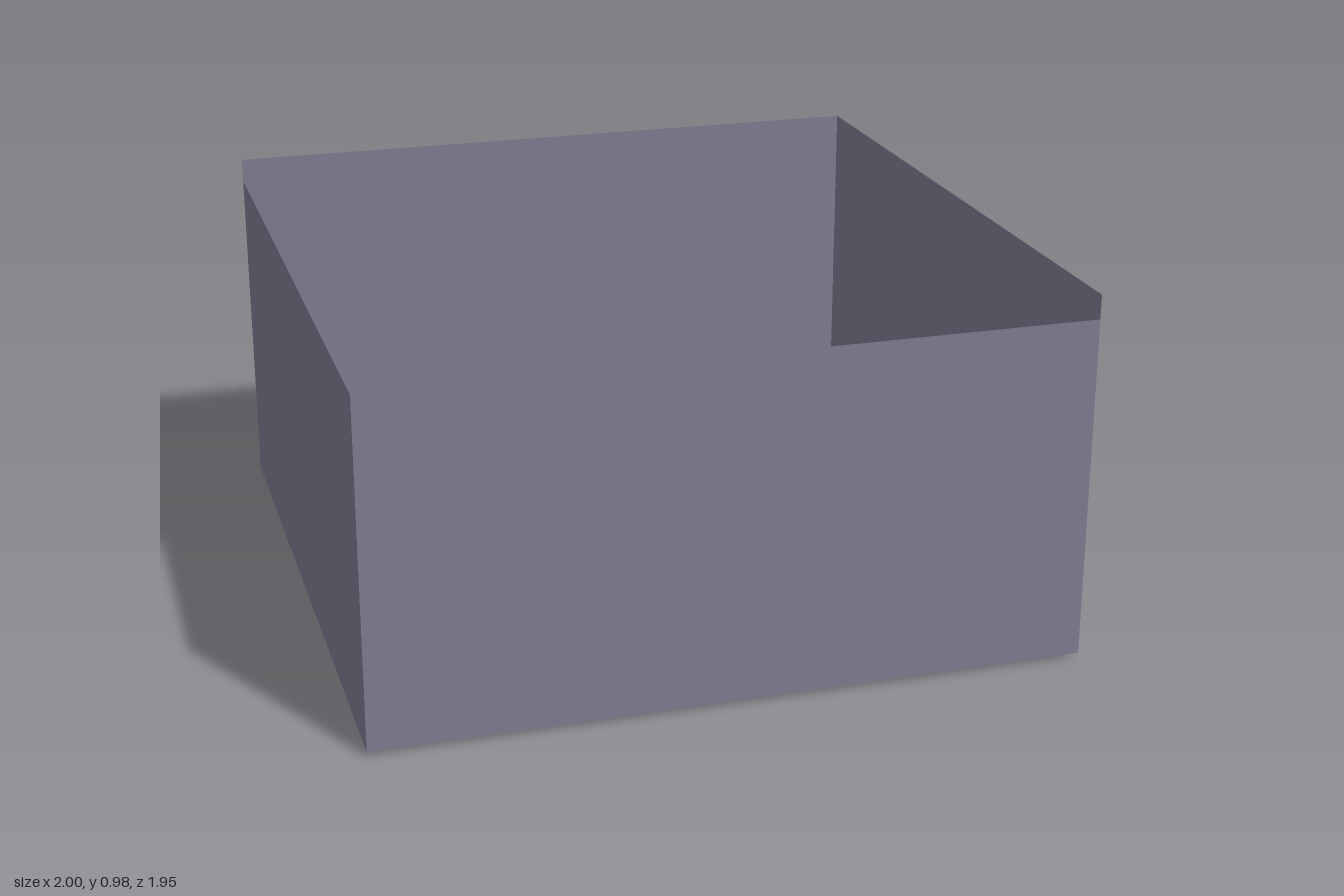
import * as THREE from 'three';

const mat = (name, color, flatShading = true) =>
  new THREE.MeshStandardMaterial({ name, color, flatShading, side: THREE.DoubleSide });

export function createModel() {
  const root = new THREE.Group();
  const grey = mat('concreteGrey', 0x7c7c90);
  const red = mat('containerRed', 0xc94f55);
  const blue = mat('containerBlue', 0x5b82c4);
  const orange = mat('pillarOrange', 0xd69f42);
  const FLOOR = 0.07, LOW = 0.012, HIGH = 0.14;

  const add = (geo, m, name, parent = root, x = 0, y = 0, z = 0) => {
    const mesh = new THREE.Mesh(geo, m);
    mesh.name = name;
    mesh.position.set(x, y, z);
    parent.add(mesh);
    return mesh;
  };
  // flat sheet: fan from its first corner
  const sheet = (name, pts) => {
    const pos = [];
    for (let i = 1; i < pts.length - 1; i++) pos.push(...pts[0], ...pts[i + 1], ...pts[i]);
    const g = new THREE.BufferGeometry();
    g.setAttribute('position', new THREE.Float32BufferAttribute(pos, 3));
    g.computeVertexNormals();
    return add(g, grey, name);
  };
  const at = (y, list) => list.map(([x, z]) => [x, y, z]);
  // box given by its bounds
  const block = (name, x0, x1, y0, y1, z0, z1, m = grey, parent = root) =>
    add(new THREE.BoxGeometry(x1 - x0, y1 - y0, z1 - z0), m, name, parent,
      (x0 + x1) / 2, (y0 + y1) / 2, (z0 + z1) / 2);
  // side profile in x-y, extruded along z and centred
  const prism = (pts, depth) => {
    const s = new THREE.Shape(pts.map(p => new THREE.Vector2(...p)));
    return new THREE.ExtrudeGeometry(s, { depth, bevelEnabled: false }).translate(0, 0, -depth / 2);
  };

  // Ground with a sunken corner and its two slopes
  sheet('floor', at(FLOOR, [[-0.63, 0.6], [-1, 0.48], [-1, -0.865], [0.835, -0.865], [0.835, 0.97], [-0.53, 0.97]]));
  sheet('sunkenCorner', at(LOW, [[-1, 0.97], [-1, 0.56], [-0.745, 0.705], [-0.61, 0.97]]));
  const rim = at(FLOOR, [[-1, 0.48], [-0.63, 0.6], [-0.53, 0.97]]);
  const foot = at(LOW, [[-1, 0.56], [-0.745, 0.705], [-0.61, 0.97]]);
  for (let i = 0; i < 2; i++) sheet('sunkenSlope', [rim[i], rim[i + 1], foot[i + 1], foot[i]]);

  // Boundary walls
  const wall = (name, a, b, y0, y1) => sheet(name,
    [[a[0], y0, a[1]], [b[0], y0, b[1]], [b[0], y1, b[1]], [a[0], y1, a[1]]]);
  wall('frontWall', [-1, 0.97], [0.835, 0.97], LOW, 0.912);
  wall('leftWall', [-1, -0.865], [-1, 0.97], LOW, 0.912);
  wall('backWall', [-1, -0.865], [0.835, -0.865], FLOOR, 0.975);
  wall('rightWall', [0.835, -0.865], [0.835, 0.97], FLOOR, 0.975);

  // Raised corner terrace with two slopes
  sheet('terrace', at(HIGH, [[0.41, -0.975], [1, -0.855], [0.975, -0.415], [0.42, -0.415]]));
  const top = at(HIGH, [[0.41, -0.975], [0.42, -0.415], [0.975, -0.415]]);
  const base = at(FLOOR, [[0.27, -0.975], [0.27, -0.28], [0.975, -0.28]]);
  for (let i = 0; i < 2; i++) sheet('terraceSlope', [top[i], top[i + 1], base[i + 1], base[i]]);

  // Octagonal pillars, open underneath
  const pillars = [
    [0.35, -0.837, 0.075, 0.015, 0.165], [0.35, -0.38, 0.075, 0.015, 0.165],
    [0.81, -0.38, 0.075, 0.015, 0.165],
    [-0.445, -0.18, 0.091, 0, 0.19], [0.175, 0.465, 0.091, 0, 0.175],
  ];
  for (const [x, z, apothem, y0, y1] of pillars) {
    const r = apothem / Math.cos(Math.PI / 8);
    const pts = [[r, y0], [r, y1], [0, y1]].map(p => new THREE.Vector2(...p));
    add(new THREE.LatheGeometry(pts, 8, Math.PI / 8), orange, 'pillar', root, x, 0, z);
  }

  // Central L-shaped deck with a ramp at each end
  const DECK = 0.18;
  block('northDeck', -0.42, -0.155, FLOOR, DECK, -0.26, 0.115);
  block('cornerDeck', -0.42, -0.155, FLOOR, DECK + 0.025, 0.115, 0.395);
  block('eastDeck', -0.155, 0.09, FLOOR, DECK, 0.115, 0.395);
  block('eastLanding', 0.09, 0.255, FLOOR, DECK, 0.095, 0.415);
  block('northStep', -0.35, -0.235, DECK, DECK + 0.012, 0.08, 0.115);
  block('eastStep', -0.155, -0.12, DECK, DECK + 0.012, 0.2, 0.32);
  const wedge = w => prism([[0, 0.064], [0.155, 0.064], [0, DECK]], w);
  add(wedge(0.32), grey, 'eastRamp', root, 0.255, 0, 0.255);
  const northRamp = add(wedge(0.265), grey, 'northRamp', root, -0.2875, 0, -0.26);
  northRamp.rotation.y = Math.PI / 2;
  northRamp.scale.x = 0.81;

  // Ribbed shipping containers; doors face local +x
  const container = (m, x, z, turn, y = FLOOR, length = 0.21) => {
    const g = new THREE.Group();
    g.name = 'container';
    const h = 0.075, w = 0.08;
    block('containerShell', -length / 2, length / 2, 0.002, h, -w / 2 + 0.003, w / 2 - 0.003, m, g);
    block('containerRoof', -length / 2, length / 2, h - 0.006, h, -w / 2, w / 2, m, g);
    block('containerBase', -length / 2, length / 2, 0, 0.007, -w / 2, w / 2, m, g);
    for (let i = 0; i < 9; i++) {
      const rx = -length / 2 + 0.004 + i * (length - 0.008) / 8;
      block('containerRib', rx - 0.004, rx + 0.004, 0, h, -w / 2, w / 2, m, g);
    }
    for (const rz of [-0.027, -0.01, 0.01, 0.027])
      block('doorBar', length / 2, length / 2 + 0.005, 0.005, h - 0.005, rz - 0.002, rz + 0.002, m, g);
    g.position.set(x, y, z);
    g.rotation.y = turn;
    root.add(g);
    return g;
  };
  const P = Math.PI, STACK = FLOOR + 0.075;
  container(red, -0.15, -0.665, 0);
  container(red, -0.68, -0.575, 0.82, FLOOR, 0.19);
  container(red, -0.1, -0.225, P / 2);
  container(red, -0.1, -0.185, P / 2, STACK);
  container(red, 0.205, 0.05, 0);
  container(red, 0.16, 0.05, 0, STACK);
  container(red, 0.66, 0.265, P / 2);
  container(blue, -0.955, 0.4, -P / 2);
  container(blue, -0.655, 0.375, 1.26 - P);
  container(blue, -0.4, 0.645, P - 0.32, FLOOR, 0.24);
  container(blue, -0.415, 0.928, P, 0.08);
  container(blue, 0.565, 0.72, 0.87 - P, FLOOR, 0.19);
  container(blue, 0.26, -0.305, -0.9, FLOOR, 0.15).scale.z = 0.7;

  // Vans with an orange waist band; nose towards local +x
  const van = (x, z, turn) => {
    const g = new THREE.Group();
    g.name = 'van';
    const s = new THREE.Shape();
    const a = 0.125, b = 0.077, r = 0.015;
    s.moveTo(-a + r, -b).lineTo(a - r, -b).quadraticCurveTo(a, -b, a, -b + r)
      .lineTo(a, b - r).quadraticCurveTo(a, b, a - r, b)
      .lineTo(-a + r, b).quadraticCurveTo(-a, b, -a, b - r)
      .lineTo(-a, -b + r).quadraticCurveTo(-a, -b, -a + r, -b);
    const slab = (h, m, name, y, k = 1) => {
      const geo = new THREE.ExtrudeGeometry(s, { depth: h, bevelEnabled: false, curveSegments: 3 });
      const mesh = add(geo.rotateX(-P / 2), m, name, g, 0, y, 0);
      mesh.scale.set(k, 1, k);
    };
    slab(0.085, grey, 'vanBody', 0.01, 0.97);
    slab(0.012, orange, 'vanBand', 0.06, 1.04);
    slab(0.008, grey, 'vanRoof', 0.093, 1.04);
    const nose = prism([[0.12, 0.012], [0.22, 0.012], [0.22, 0.035], [0.12, 0.09]], 0.134);
    const p = nose.attributes.position;
    for (let i = 0; i < p.count; i++) if (p.getX(i) > 0.2) p.setZ(i, p.getZ(i) * 0.78);
    nose.computeVertexNormals();
    add(nose, grey, 'vanNose', g);
    g.position.set(x, FLOOR, z);
    g.rotation.y = turn;
    root.add(g);
  };
  van(0.092, 0.889, 0);
  van(-0.912, -0.106, P / 2);

  // Framed crates on the deck and the ground
  const crate = (x, y, z, turn = 0) => {
    const g = new THREE.Group();
    g.name = 'crate';
    const h = 0.026, t = 0.007;
    add(new THREE.BoxGeometry(0.044, 0.044, 0.044), grey, 'crateCore', g, 0, h, 0);
    for (const i of [-1, 1]) for (const j of [-1, 1]) {
      const u = i * (h - t / 2), v = j * (h - t / 2);
      add(new THREE.BoxGeometry(2 * h, t, t), grey, 'crateBar', g, 0, h + u, v);
      add(new THREE.BoxGeometry(t, 2 * h, t), grey, 'crateBar', g, u, h, v);
      add(new THREE.BoxGeometry(t, t, 2 * h), grey, 'crateBar', g, u, h + v, 0);
    }
    g.position.set(x, y, z);
    g.rotation.y = turn;
    root.add(g);
  };
  for (const x of [-0.38, -0.195]) for (const z of [0.16, 0.345]) crate(x, DECK + 0.025, z);
  crate(0.06, DECK, 0.345);
  crate(-0.38, DECK, -0.1);
  for (const [x, z] of [[0.175, -0.29], [0.175, -0.225], [0.232, -0.225]]) crate(x, FLOOR, z);
  crate(0.615, HIGH, -0.645, 0.15);
  crate(0.68, HIGH, -0.64, 0);
  crate(0.66, HIGH, -0.705, -0.4);
  crate(0.653, HIGH + 0.052, -0.668, 0.1);

  return root;
}
